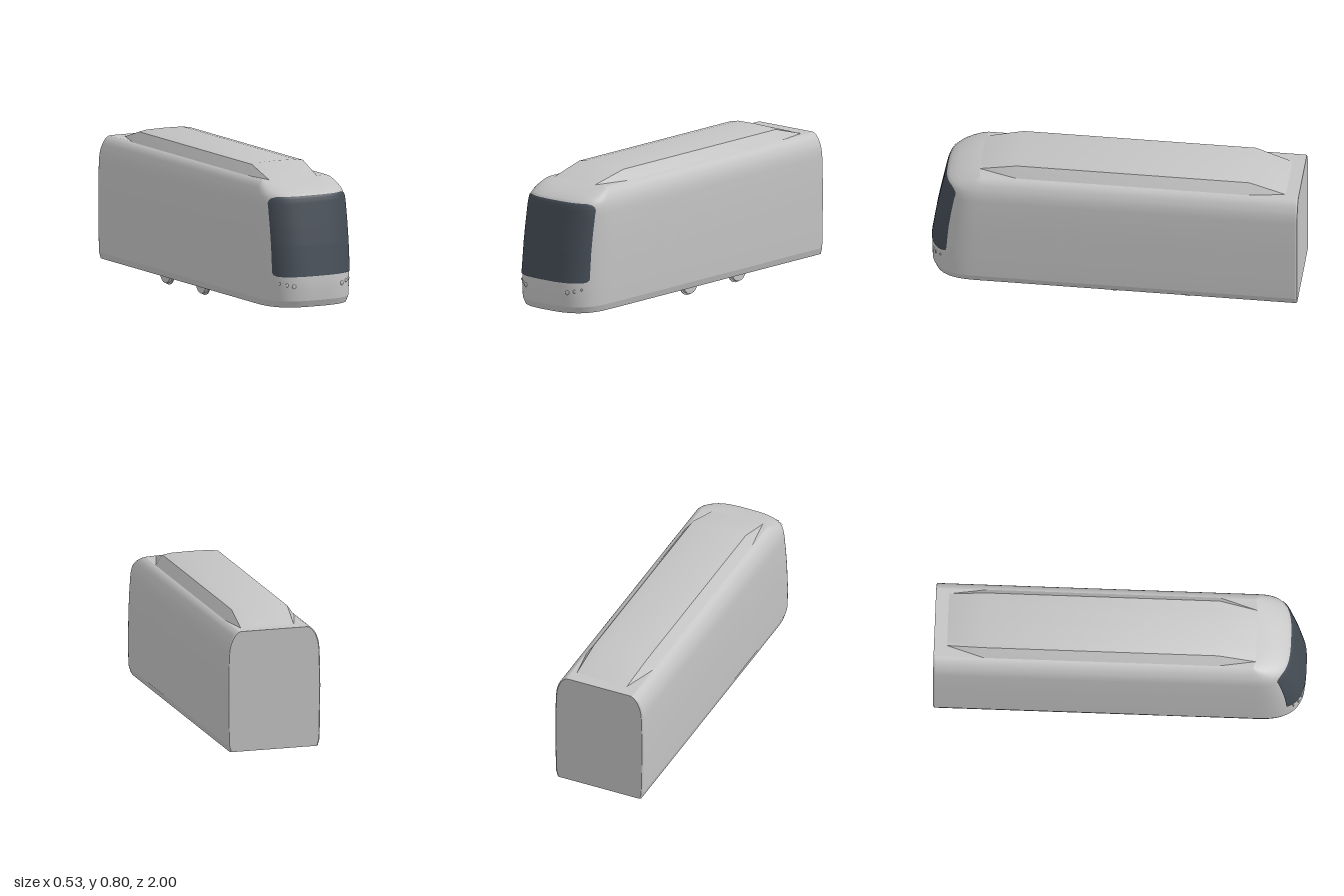
import * as THREE from 'three';
import { toCreasedNormals } from 'three/addons/utils/BufferGeometryUtils.js';

// Shell profile by height: [y, half width, front z]
const PROFILE = [
  [0.065, 0.248, 0.982], [0.1, 0.258, 0.997], [0.16, 0.26, 1.0], [0.235, 0.2615, 0.998],
  [0.4, 0.263, 0.973], [0.5, 0.262, 0.954], [0.6, 0.259, 0.934], [0.63, 0.256, 0.928],
  [0.655, 0.251, 0.92], [0.672, 0.245, 0.902], [0.69, 0.237, 0.866], [0.705, 0.228, 0.825],
  [0.716, 0.218, 0.79], [0.725, 0.207, 0.755], [0.73, 0.195, 0.73],
];
const NOSE_Z = 0.72; // where the nose begins to curve
const POWER = 3;     // squareness of the nose in plan

function profileAt(y) {
  let i = 1;
  while (i < PROFILE.length - 1 && PROFILE[i][0] < y) i++;
  const a = PROFILE[i - 1], b = PROFILE[i];
  const t = (y - a[0]) / (b[0] - a[0]);
  return { w: a[1] + (b[1] - a[1]) * t, front: a[2] + (b[2] - a[2]) * t };
}

// z of the nose surface at x, y, pushed out by off
function noseZ(x, y, off = 0) {
  const { w, front } = profileAt(y);
  const k = Math.min(1, Math.abs(x) / (w + off));
  return NOSE_Z + (front + off - NOSE_Z) * Math.pow(1 - Math.pow(k, POWER), 1 / POWER);
}

// Plan outline at height y: right around the nose, open at the back
function outline(y) {
  const { w, front } = profileAt(y);
  const pts = [[w - 0.008, y, -1], [w - 0.002, y, -0.996], [w, y, -0.988]];
  const n = 48;
  for (let i = 0; i <= n; i++) {
    const t = (i / n) * Math.PI, c = Math.cos(t);
    const x = w * Math.sign(c) * Math.pow(Math.abs(c), 2 / POWER);
    const s = Math.pow(Math.max(0, Math.sin(t)), 2 / POWER);
    pts.push([x, y, NOSE_Z + (front - NOSE_Z) * s]);
  }
  pts.push([-w, y, -0.988], [-w + 0.002, y, -0.996], [-w + 0.008, y, -1]);
  return pts;
}

function geometryFrom(points, index) {
  const g = new THREE.BufferGeometry();
  g.setAttribute('position', new THREE.Float32BufferAttribute(points.flat(), 3));
  g.setIndex(index);
  g.computeVertexNormals();
  return g;
}

// Surface through rows of points
function loft(rows) {
  const n = rows[0].length, index = [];
  for (let i = 0; i < rows.length - 1; i++) {
    for (let j = 0; j < n - 1; j++) {
      const a = i * n + j, b = a + n;
      index.push(a, b, a + 1, b, b + 1, a + 1);
    }
  }
  return geometryFrom(rows.flat(), index);
}

// Flat convex cap
function cap(pts, flip) {
  const index = [];
  for (let i = 1; i < pts.length - 1; i++) index.push(0, flip ? i + 1 : i, flip ? i : i + 1);
  return geometryFrom(pts, index);
}

export function createModel() {
  const model = new THREE.Group();
  const body = new THREE.MeshStandardMaterial({ color: 0xc4c4c4 });
  body.name = 'body grey';
  const glass = new THREE.MeshStandardMaterial({ color: 0x454d56 });
  glass.name = 'dark glass';

  const add = (name, geometry, material = body, parent = model) => {
    const mesh = new THREE.Mesh(geometry, material);
    mesh.name = name;
    parent.add(mesh);
    return mesh;
  };

  // Body shell with roof, floor and rear wall
  const rows = PROFILE.map((p) => outline(p[0]));
  add('lowerSkirt', loft(rows.slice(0, 2)));
  add('bodyShell', loft(rows.slice(1)));
  add('roof', cap(rows[rows.length - 1], true));
  add('floor', cap(rows[0], false));
  const rear = [...rows.map((r) => r[0]), ...rows.map((r) => r[r.length - 1]).reverse()];
  add('rearWall', cap(rear, true));

  // Windscreen: rounded patch laid just over the nose
  const y0 = 0.233, y1 = 0.66, half = 0.238, screen = [];
  for (let i = 0; i <= 60; i++) {
    const y = y0 + ((y1 - y0) * i) / 60;
    const r = y < 0.4 ? 0.02 : 0.04;
    const d = Math.max(0, r - Math.min(y - y0, y1 - y));
    const hw = half - r + Math.sqrt(Math.max(0, r * r - d * d));
    const row = [];
    for (let j = 0; j <= 48; j++) {
      const x = hw * Math.cos((j / 48) * Math.PI);
      row.push([x, y, noseZ(x, y, 0.004)]);
    }
    screen.push(row);
  }
  add('windscreen', loft(screen), glass);

  // Roof pod: sections along z, sloped at both ends
  const podRow = (z, w, h) => [
    [1, 0], [0.8, 0.85], [0.56, 0.97], [0, 1], [-0.56, 0.97], [-0.8, 0.85], [-1, 0],
  ].map(([x, y]) => [x * w, 0.729 + y * h, z]);
  const pod = loft([
    podRow(0.735, 0.163, 0.001), podRow(0.53, 0.196, 0.066),
    podRow(-0.73, 0.196, 0.066), podRow(-0.93, 0.165, 0.001),
  ]);
  add('roofPod', toCreasedNormals(pod, 0.5));

  for (const side of [1, -1]) {
    const label = side > 0 ? 'left' : 'right';

    // Headlamps
    for (const [x, y, r] of [[0.146, 0.18, 0.012], [0.18, 0.188, 0.01], [0.21, 0.196, 0.008]]) {
      const lamp = add(label + 'Headlamp', new THREE.SphereGeometry(r, 20, 12));
      lamp.position.set(side * x, y, noseZ(x, y));
      lamp.scale.z = 0.5;
    }

    // Two door leaves laid on the side wall
    for (const [za, zb] of [[0.17, 0.313], [0.317, 0.46]]) {
      const leaf = [];
      for (const y of [0.1, 0.16, 0.235, 0.4, 0.5, 0.57]) {
        const x = side * (profileAt(y).w + 0.0015);
        leaf.push(side > 0 ? [[x, y, za], [x, y, zb]] : [[x, y, zb], [x, y, za]]);
      }
      add(label + 'DoorLeaf', loft(leaf));
    }
  }

  // Wheelsets: axle with two flanged wheels
  for (const z of [0, -0.4]) {
    const set = new THREE.Group();
    set.name = z === 0 ? 'frontWheelset' : 'rearWheelset';
    set.position.set(0, 0.066, z);
    model.add(set);
    const disc = (name, r, width, x) => {
      const g = new THREE.CylinderGeometry(r, r, width, 40);
      g.rotateZ(Math.PI / 2);
      add(name, g, body, set).position.x = x;
    };
    disc('axle', 0.007, 0.31, 0);
    for (const side of [1, -1]) {
      disc('wheelTread', 0.057, 0.024, side * 0.167);
      disc('wheelFlange', 0.066, 0.006, side * 0.158);
    }
  }
  return model;
}
